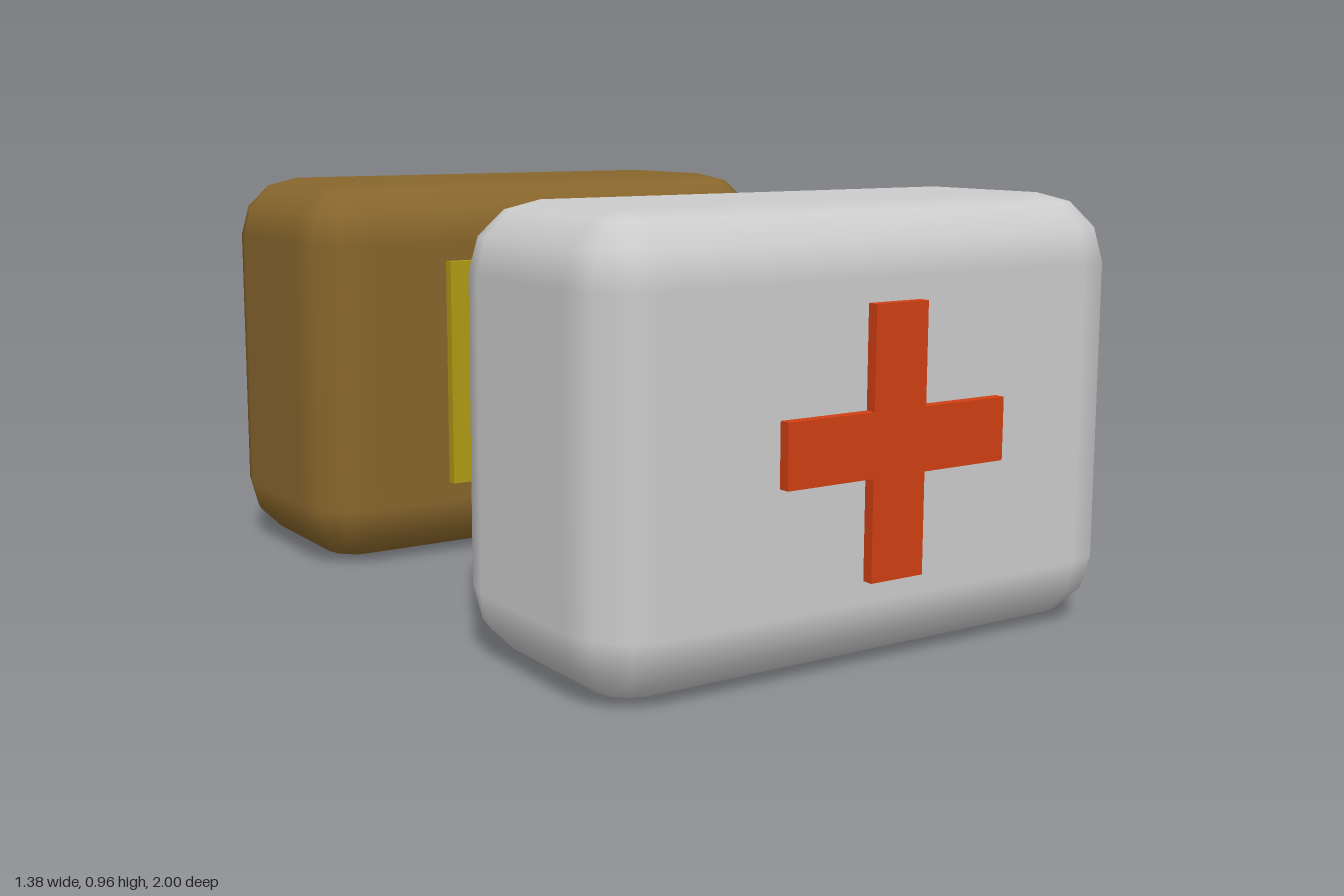
import * as THREE from 'three';

const W = 1.38, H = 0.965, D = 0.635, R = 0.15, SEG = 3;

// Box with every edge rounded: a sphere grid whose eight octants are pulled apart
function roundedBox(w, h, d, r, seg) {
  const n = seg + 1, cols = 4 * n, rows = 2 * n + 1;
  const geo = new THREE.PlaneGeometry(1, 1, cols, rows);
  const pos = geo.attributes.position, nor = geo.attributes.normal;
  const step = Math.PI / 2 / seg;
  for (let row = 0; row <= rows; row++) {
    for (let col = 0; col <= cols; col++) {
      const i = row * (cols + 1) + col;
      // First and last rows close the flat top and bottom
      if (row === 0 || row === rows) {
        const s = row === 0 ? 1 : -1;
        pos.setXYZ(i, 0, s * h / 2, 0);
        nor.setXYZ(i, 0, s, 0);
        continue;
      }
      const k = Math.floor(col / n) % 4;
      const phi = k * Math.PI / 2 + (col % n) * step;
      const upper = row <= n;
      const theta = (upper ? row - 1 : row - 2) * step;
      const x = Math.sin(theta) * Math.sin(phi);
      const y = Math.cos(theta);
      const z = Math.sin(theta) * Math.cos(phi);
      const sx = k < 2 ? 1 : -1, sy = upper ? 1 : -1, sz = k === 0 || k === 3 ? 1 : -1;
      pos.setXYZ(i, sx * (w / 2 - r) + x * r, sy * (h / 2 - r) + y * r, sz * (d / 2 - r) + z * r);
      nor.setXYZ(i, x, y, z);
    }
  }
  return geo;
}

// Plus-shaped prism, centred on the origin
function crossGeometry(arm, half, depth) {
  const shape = new THREE.Shape([
    [half, half], [half, arm], [-half, arm], [-half, half], [-arm, half], [-arm, -half],
    [-half, -half], [-half, -arm], [half, -arm], [half, -half], [arm, -half], [arm, half],
  ].map(([x, y]) => new THREE.Vector2(x, y)));
  return new THREE.ExtrudeGeometry(shape, { depth, bevelEnabled: false }).translate(0, 0, -depth / 2);
}

export function createModel() {
  const model = new THREE.Group();
  const paint = (color) => new THREE.MeshStandardMaterial({ color });
  const add = (parent, name, geo, mat, x = 0) => {
    const mesh = new THREE.Mesh(geo, mat);
    mesh.name = name;
    mesh.position.x = x;
    parent.add(mesh);
  };
  const makeCase = (name, z) => {
    const group = new THREE.Group();
    group.name = name;
    group.position.set(0, H / 2, z);
    model.add(group);
    return group;
  };
  const body = roundedBox(W, H, D, R, SEG);
  const trimDepth = 0.685;

  // Front case with a cross showing on both faces
  const medical = makeCase('medicalCase', 0.657);
  add(medical, 'medicalCaseBody', body, paint(0xcccccc));
  add(medical, 'cross', crossGeometry(0.285, 0.068, trimDepth), paint(0xd04014));

  // Rear case with three upright bars showing on both faces
  const supply = makeCase('supplyCase', -0.657);
  add(supply, 'supplyCaseBody', body, paint(0x88662c));
  const bar = new THREE.BoxGeometry(0.136, 0.57, trimDepth);
  const yellow = paint(0xb09b14);
  for (const x of [-0.274, 0, 0.274]) add(supply, 'bar', bar, yellow, x);

  return model;
}
